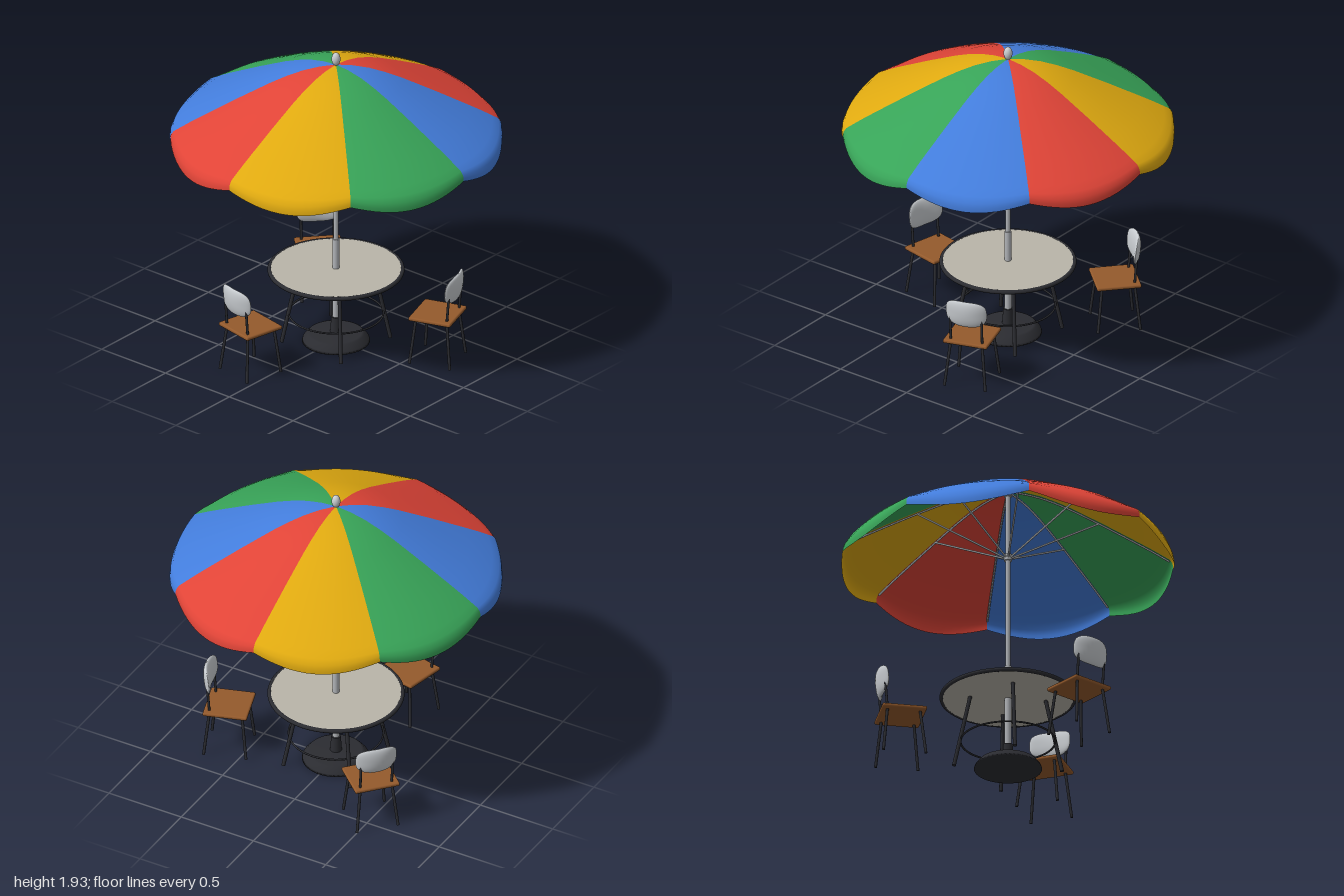
import * as THREE from 'three';
import { RoundedBoxGeometry } from 'three/addons/geometries/RoundedBoxGeometry.js';

const V = (x, y, z) => new THREE.Vector3(x, y, z);

function makeMaterial(name, color, extra = {}) {
  const m = new THREE.MeshStandardMaterial({ color, ...extra });
  m.name = name;
  return m;
}

function add(parent, name, geometry, material, x = 0, y = 0, z = 0) {
  const mesh = new THREE.Mesh(geometry, material);
  mesh.name = name;
  mesh.position.set(x, y, z);
  parent.add(mesh);
  return mesh;
}

// Round bar between two points
function bar(parent, name, a, b, radius, material) {
  const mesh = add(parent, name, new THREE.CylinderGeometry(radius, radius, a.distanceTo(b), 12), material);
  mesh.position.copy(a).add(b).multiplyScalar(0.5);
  mesh.quaternion.setFromUnitVectors(V(0, 1, 0), b.clone().sub(a).normalize());
  return mesh;
}

// Canopy profile as radius and height, rim first
const profile = [
  [1, 1.385], [1, 1.405], [0.995, 1.425], [0.98, 1.446], [0.94, 1.469], [0.88, 1.503], [0.8, 1.545],
  [0.6, 1.647], [0.4, 1.744], [0.3, 1.786], [0.2, 1.82], [0.1, 1.841], [0.001, 1.85],
];

// One canopy panel whose lower edge hangs in a scallop
function panelGeometry(start) {
  const span = Math.PI / 4;
  const g = new THREE.LatheGeometry(profile.map(([r, y]) => new THREE.Vector2(r, y)), 16, start, span);
  const p = g.attributes.position;
  const uv = g.attributes.uv;
  for (let i = 0; i < p.count; i++) {
    const hang = THREE.MathUtils.smoothstep(-p.getY(i), -1.5, -1.385);
    p.setY(i, p.getY(i) - 0.07 * hang * Math.sin(Math.PI * uv.getX(i)));
  }
  return g;
}

// Rounded, gently wrapped backrest pad
function backrestGeometry() {
  const g = new THREE.SphereGeometry(1, 32, 24);
  const p = g.attributes.position;
  for (let i = 0; i < p.count; i++) {
    const x = p.getX(i), y = p.getY(i);
    const n = Math.cbrt(Math.abs(x) ** 3 + Math.abs(y) ** 3);
    const f = n > 1e-6 ? Math.hypot(x, y) / n : 1;
    const sx = x * f, sy = y * f;
    p.setXYZ(i, sx * 0.13, sy * 0.088, p.getZ(i) * 0.024 - 0.028 * sx * sx);
  }
  g.computeVertexNormals();
  return g;
}

export function createModel() {
  const root = new THREE.Group();
  root.name = 'patioSet';

  const red = makeMaterial('canopy red', 0xe04437, { side: THREE.DoubleSide });
  const yellow = makeMaterial('canopy yellow', 0xe0aa10, { side: THREE.DoubleSide });
  const green = makeMaterial('canopy green', 0x38a458, { side: THREE.DoubleSide });
  const blue = makeMaterial('canopy blue', 0x437ddc, { side: THREE.DoubleSide });
  const metal = makeMaterial('pole metal', 0xb0b3b7);
  const pale = makeMaterial('pale plastic', 0xc8ccd0);
  const dark = makeMaterial('dark iron', 0x2b2c31);
  const wood = makeMaterial('seat wood', 0x945a2c);
  const stone = makeMaterial('table top', 0xb9b5a9);

  // Umbrella
  const umbrella = new THREE.Group();
  umbrella.name = 'umbrella';
  root.add(umbrella);
  const colours = [yellow, green, blue, red];
  const ribPath = new THREE.CatmullRomCurve3(
    profile.slice(3).map(([r, y]) => V(0, y - 0.014, Math.max(r, 0.02))));
  for (let i = 0; i < 8; i++) {
    const a = (i * Math.PI) / 4;
    add(umbrella, 'canopyPanel', panelGeometry(a), colours[i % 4]);
    const rib = add(umbrella, 'rib', new THREE.TubeGeometry(ribPath, 24, 0.006, 6), metal);
    rib.rotation.y = a;
    bar(umbrella, 'strut', V(0.02 * Math.sin(a), 1.4, 0.02 * Math.cos(a)),
      V(0.55 * Math.sin(a), 1.658, 0.55 * Math.cos(a)), 0.006, metal);
  }
  add(umbrella, 'pole', new THREE.CylinderGeometry(0.014, 0.014, 1.75, 24), metal, 0, 0.975);
  add(umbrella, 'poleSleeve', new THREE.CylinderGeometry(0.02, 0.02, 0.6, 24), metal, 0, 0.38);
  add(umbrella, 'runner', new THREE.CylinderGeometry(0.025, 0.025, 0.04, 24), metal, 0, 1.4);
  add(umbrella, 'topHub', new THREE.CylinderGeometry(0.024, 0.024, 0.03, 24), metal, 0, 1.82);
  add(umbrella, 'finial', new THREE.SphereGeometry(1, 24, 16), pale, 0, 1.888).scale.set(0.027, 0.042, 0.027);
  const basePoints = [[0, 0], [0.205, 0], [0.2, 0.015], [0.17, 0.05], [0.155, 0.055], [0.035, 0.06]];
  add(umbrella, 'base', new THREE.LatheGeometry(basePoints.map(([r, y]) => new THREE.Vector2(r, y)), 48), dark);
  add(umbrella, 'baseCollar', new THREE.CylinderGeometry(0.029, 0.036, 0.11, 24), dark, 0, 0.105);

  // Table
  const table = new THREE.Group();
  table.name = 'table';
  root.add(table);
  add(table, 'tableTop', new THREE.CylinderGeometry(0.398, 0.398, 0.02, 64), stone, 0, 0.475);
  add(table, 'tableRim', new THREE.TorusGeometry(0.4, 0.013, 12, 64), dark, 0, 0.475).rotation.x = Math.PI / 2;
  add(table, 'footRing', new THREE.TorusGeometry(0.285, 0.006, 8, 64), dark, 0, 0.184).rotation.x = Math.PI / 2;
  for (const sx of [-1, 1]) for (const sz of [-1, 1]) {
    bar(table, 'tableLeg', V(sx * 0.162, 0.466, sz * 0.162), V(sx * 0.232, 0.004, sz * 0.232), 0.012, dark);
  }

  // Three chairs facing the pole
  const seat = new RoundedBoxGeometry(0.282, 0.024, 0.272, 3, 0.01);
  const pad = backrestGeometry();
  for (const degrees of [101.7, 221.7, 341.7]) {
    const a = THREE.MathUtils.degToRad(degrees);
    const chair = new THREE.Group();
    chair.name = 'chair';
    chair.position.set(0.656 * Math.cos(a), 0, 0.656 * Math.sin(a));
    chair.rotation.y = Math.PI / 2 - a;
    root.add(chair);
    add(chair, 'seat', seat, wood, 0, 0.3, 0);
    add(chair, 'backrest', pad, pale, 0, 0.503, 0.128).rotation.x = 0.1;
    for (const sx of [-1, 1]) {
      for (const sz of [-1, 1]) {
        bar(chair, 'chairLeg', V(sx * 0.1, 0.292, sz * 0.1), V(sx * 0.13, 0.003, sz * 0.13), 0.009, dark);
      }
      bar(chair, 'backUpright', V(sx * 0.1, 0.3, 0.1), V(sx * 0.1, 0.47, 0.113), 0.008, dark);
    }
  }
  return root;
}
